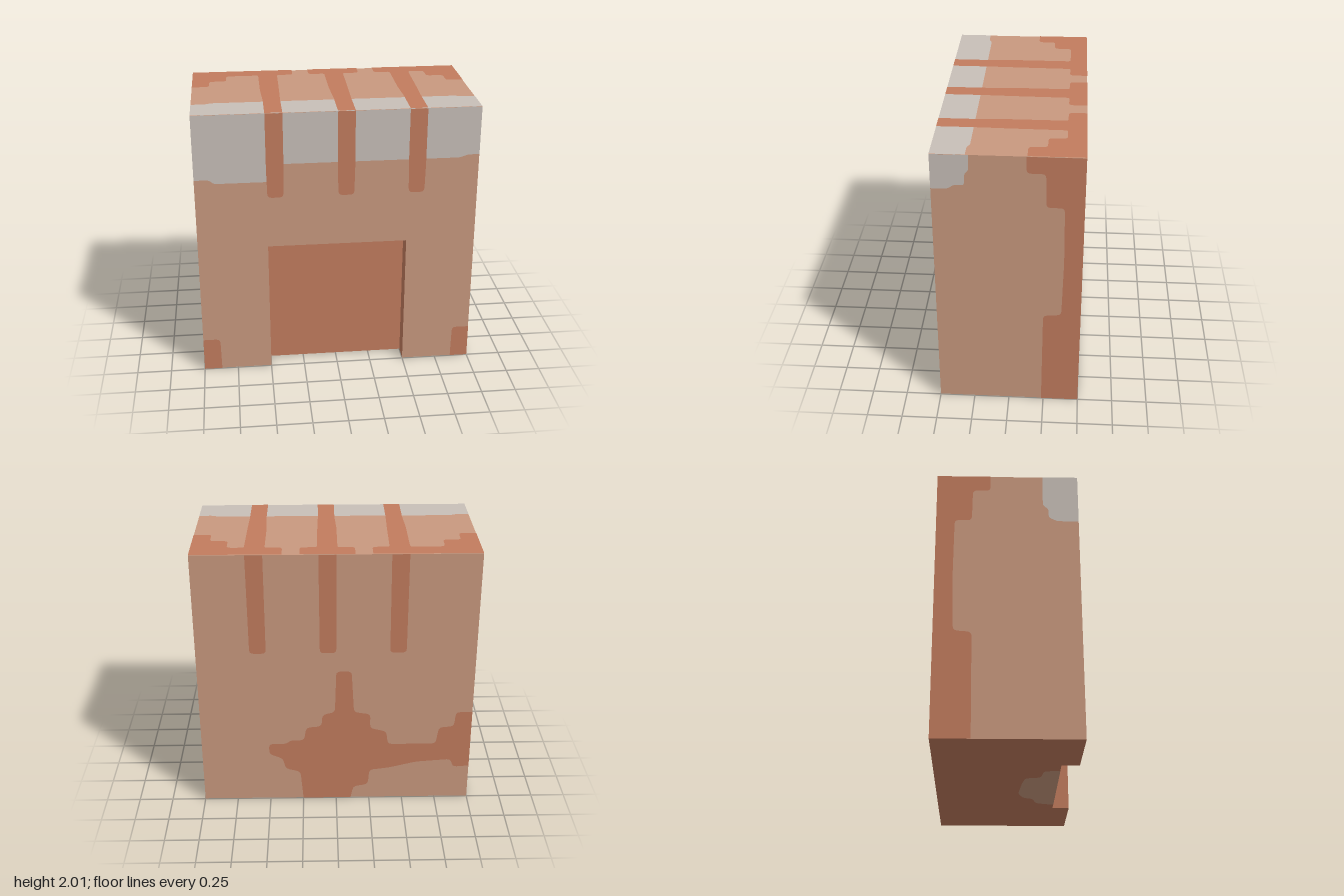
import * as THREE from 'three';

const mat = (name, color, side = THREE.FrontSide) => {
  const m = new THREE.MeshStandardMaterial({ color, side });
  m.name = name;
  return m;
};

// Each face: direction of the panel's own axes and normal, sign of the two
// world coordinates along those axes, distance of the face, and its limits.
const V = (x, y, z) => new THREE.Vector3(x, y, z);
const FACES = {
  front: { u: V(1, 0, 0), v: V(0, 1, 0), s: [1, 1], d: 0.5, lim: [-1, 1, 0, 2] },
  back: { u: V(-1, 0, 0), v: V(0, 1, 0), s: [-1, 1], d: 0.5, lim: [-1, 1, 0, 2] },
  right: { u: V(0, 0, -1), v: V(0, 1, 0), s: [-1, 1], d: 1, lim: [-0.5, 0.5, 0, 2] },
  left: { u: V(0, 0, 1), v: V(0, 1, 0), s: [1, 1], d: 1, lim: [-0.5, 0.5, 0, 2] },
  top: { u: V(1, 0, 0), v: V(0, 0, -1), s: [1, -1], d: 2, lim: [-1, 1, -0.5, 0.5] },
  bottom: { u: V(1, 0, 0), v: V(0, 0, 1), s: [1, 1], d: 0, lim: [-1, 1, -0.5, 0.5] },
};

const rect = (x0, x1, y0, y1) => [[x0, y0], [x1, y0], [x1, y1], [x0, y1]];

// Outline with softened corners, except for corners on the rim of the face
function outline(points, face, radius) {
  const [a0, a1, b0, b1] = face.lim;
  const p = points.map(([a, b]) => new THREE.Vector2(a * face.s[0], b * face.s[1]));
  const shape = new THREE.Shape();
  p.forEach((c, i) => {
    const [a, b] = points[i];
    const prev = p[(i + p.length - 1) % p.length], next = p[(i + 1) % p.length];
    const rim = a <= a0 || a >= a1 || b <= b0 || b >= b1;
    const cut = q => c.clone().lerp(q, Math.min(0.45, radius / c.distanceTo(q)));
    const s = rim || !radius ? c : cut(prev), e = rim || !radius ? c : cut(next);
    if (i === 0) shape.moveTo(s.x, s.y); else shape.lineTo(s.x, s.y);
    if (s !== c) shape.quadraticCurveTo(c.x, c.y, e.x, e.y);
  });
  shape.closePath();
  return shape;
}

export function createModel() {
  const clay = mat('clay', 0xc9997f);
  const rust = mat('rust', 0xc27c5e);
  const pale = mat('paleGrey', 0xc8bfb8);
  const model = new THREE.Group();
  model.name = 'archBlock';

  // Puts a flat panel on a face; lift raises painted patches above the surface
  function panel(name, faceName, material, points, lift = 0, radius = 0) {
    const face = FACES[faceName];
    const n = face.u.clone().cross(face.v);
    const geo = new THREE.ShapeGeometry(outline(points, face, radius), 3);
    geo.applyMatrix4(new THREE.Matrix4().makeBasis(face.u, face.v, n));
    const t = n.multiplyScalar(face.d + lift);
    geo.translate(t.x, t.y, t.z);
    const mesh = new THREE.Mesh(geo, material);
    mesh.name = name;
    model.add(mesh);
  }
  const patch = (name, face, material, points, radius = 0.03) =>
    panel(name, face, material, points, material === pale ? 0.002 : 0.004, radius);

  // Block walls, with a doorway notch cut in the front
  panel('frontWall', 'front', clay, [[-1, 0], [-0.5, 0], [-0.5, 1], [0.5, 1], [0.5, 0], [1, 0], [1, 2], [-1, 2]]);
  panel('backWall', 'back', clay, rect(-1, 1, 0, 2));
  for (const side of ['left', 'right']) panel(side + 'Wall', side, clay, rect(-0.5, 0.5, 0, 2));
  panel('topFace', 'top', clay, rect(-1, 1, -0.5, 0.5));
  panel('underside', 'bottom', rust,
    [[-1, -0.5], [1, -0.5], [1, 0.5], [0.5, 0.5], [0.5, 0.375], [-0.5, 0.375], [-0.5, 0.5], [-1, 0.5]]);

  // Shallow doorway recess
  panel('recessBack', 'front', rust, rect(-0.5, 0.5, 0, 1), -0.125);
  panel('recessCeiling', 'bottom', rust, rect(-0.5, 0.5, 0.375, 0.5), -1);
  panel('recessLeftJamb', 'left', rust, rect(0.375, 0.5, 0, 1), -1.5);
  panel('recessRightJamb', 'right', rust, rect(0.375, 0.5, 0, 1), -1.5);

  // Pale band over the upper front edge
  patch('frontPaleBand', 'front', pale, [[-1, 2], [-1, 1.53], [-0.9, 1.53], [-0.86, 1.5], [-0.45, 1.5],
    [-0.45, 1.63], [0.86, 1.63], [0.92, 1.65], [1, 1.65], [1, 2]], 0.015);
  patch('topPaleBand', 'top', pale, [[-1, 0.5], [-1, 0.27], [-0.9, 0.27], [-0.86, 0.25], [0.86, 0.25],
    [0.9, 0.27], [1, 0.27], [1, 0.5]], 0.015);
  patch('rightPaleCorner', 'right', pale, [[0.25, 2], [0.25, 1.89], [0.28, 1.86], [0.28, 1.78], [0.35, 1.78],
    [0.39, 1.75], [0.5, 1.75], [0.5, 2]], 0.02);
  patch('leftPaleCorner', 'left', pale, [[0.25, 2], [0.25, 1.76], [0.29, 1.73], [0.29, 1.66], [0.35, 1.63],
    [0.5, 1.63], [0.5, 2]], 0.02);

  // Three rust stripes running over the top and dripping down both faces
  for (const x of [-0.5, 0, 0.5]) {
    const e = x + 0.122;
    patch('frontDrip', 'front', rust, [[x, 2], [x, 1.6], [x + 0.005, 1.38], [e - 0.005, 1.38], [e, 1.6], [e, 2]]);
    patch('backDrip', 'back', rust, [[x, 2], [x, 1.25], [e - 0.005, 1.25], [e, 2]]);
    patch('topStripe', 'top', rust, [[x, 0.5], [x, 0.22], [x - 0.01, 0], [x - 0.01, -0.37], [x - 0.04, -0.385],
      [x - 0.04, -0.5], [e + 0.04, -0.5], [e + 0.04, -0.385], [e + 0.01, -0.37], [e + 0.005, 0], [e, 0.22], [e, 0.5]], 0.015);
  }

  // Rust along the back edge of the top, stepping out at the corners
  patch('topCornerRust', 'top', rust, [[-1, -0.5], [-1, -0.125], [-0.875, -0.125], [-0.875, -0.25],
    [-0.75, -0.25], [-0.75, -0.375], [-0.25, -0.375], [-0.25, -0.5]]);
  patch('topMiddleRust', 'top', rust, [[-0.13, -0.5], [-0.13, -0.375], [0.25, -0.375], [0.25, -0.5]]);
  patch('topCornerRust', 'top', rust, [[0.37, -0.5], [0.37, -0.375], [0.75, -0.375], [0.75, -0.25],
    [0.875, -0.25], [0.875, -0.125], [1, -0.125], [1, -0.5]]);

  // Rust down the rear edge of both sides and on the front feet
  for (const side of ['left', 'right']) {
    patch(side + 'EdgeRust', side, rust, [[-0.5, 0], [-0.235, 0], [-0.24, 0.755], [-0.365, 0.765], [-0.375, 1.2],
      [-0.37, 1.63], [-0.25, 1.63], [-0.245, 1.88], [-0.12, 1.88], [-0.12, 2], [-0.5, 2]]);
  }
  for (const m of [-1, 1]) {
    patch('footRust', 'front', rust, [[m, 0], [m, 0.25], [m * 0.875, 0.25], [m * 0.87, 0]]);
  }

  // Rust splash on the back, trailing off to one side
  patch('backSplash', 'back', rust, [[0.5, 0.49], [0.37, 0.49], [0.34, 0.52], [0.24, 0.52], [0.22, 0.63],
    [0.11, 0.64], [0.1, 0.74], [0.01, 0.76], [0, 1.1], [-0.11, 1.1], [-0.13, 0.76], [-0.25, 0.74], [-0.25, 0.62],
    [-0.37, 0.59], [-0.385, 0.48], [-0.74, 0.48], [-0.76, 0.62], [-0.87, 0.63], [-0.88, 0.75], [-1, 0.75],
    [-1, 0.28], [-0.88, 0.27], [-0.86, 0.34], [-0.6, 0.32], [-0.4, 0.27], [-0.25, 0.25], [-0.24, 0.12],
    [-0.13, 0.1], [-0.11, 0], [0.25, 0], [0.27, 0.24], [0.38, 0.27], [0.4, 0.36], [0.5, 0.4]]);

  // Clay patch on the underside behind the doorway
  patch('undersidePatch', 'bottom', clay, [[-0.4, 0.375], [-0.38, 0.26], [-0.25, 0.25], [-0.23, 0.14], [-0.12, 0.12],
    [0.12, 0.1], [0.23, 0.14], [0.25, 0.21], [0.36, 0.24], [0.4, 0.375]]);

  return model;
}
